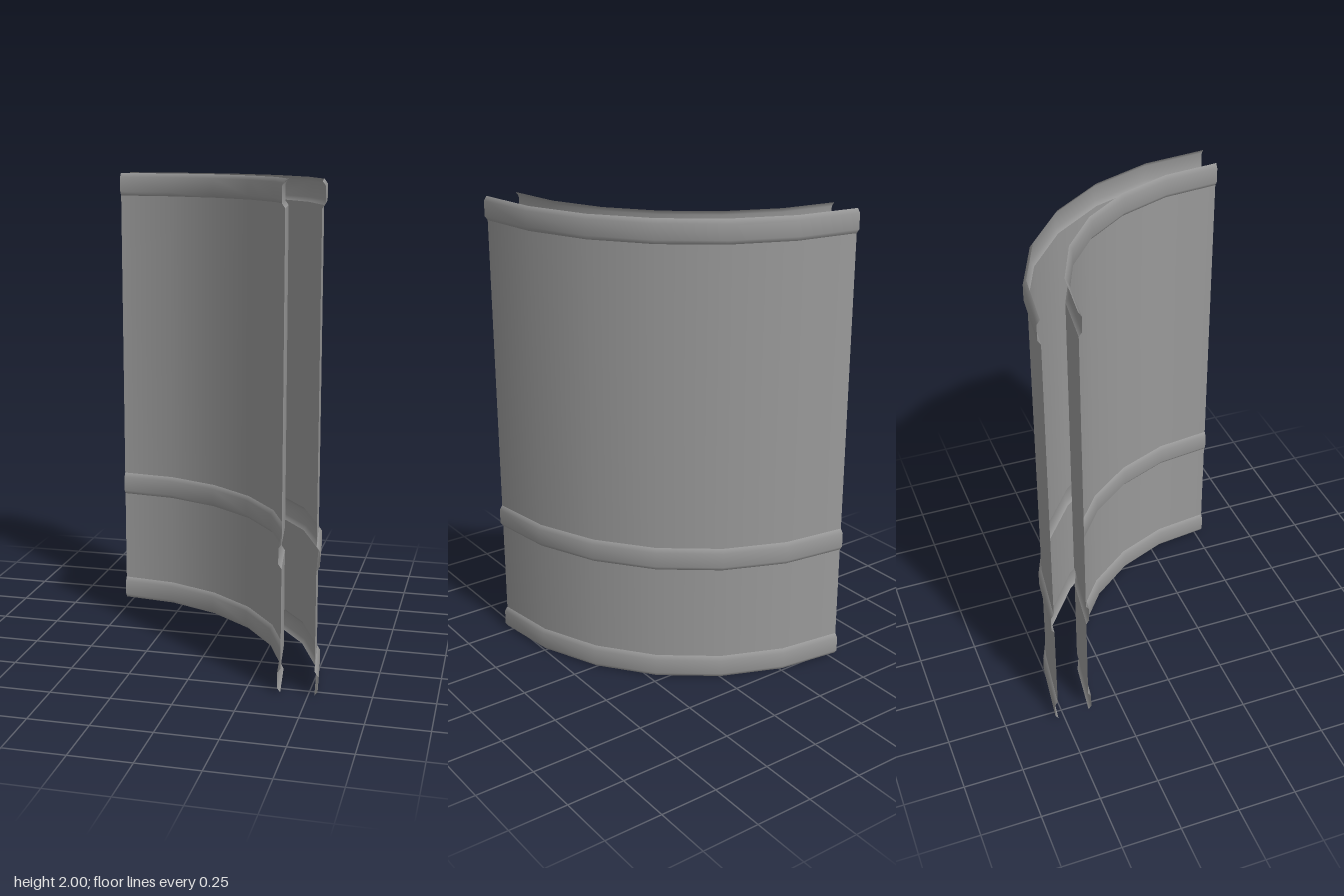
import * as THREE from 'three';

const CENTRE = 0.538;          // the arc is centred on (-CENTRE, +CENTRE)
const BULGE = 0.013;           // how far the bands stand out from the wall
const BAND_HEIGHT = 0.1;
const BANDS = [['bottomBand', 0], ['middleBand', 0.513], ['topBand', 1.9]];

// softly chamfered band section: [share of bulge, height above the band's foot]
const BAND_SECTION = [[0, 0], [1, 0.018], [1, 0.082], [0, BAND_HEIGHT]];

const material = new THREE.MeshStandardMaterial({ color: 0x999999, side: THREE.DoubleSide });

// quarter-turn sheet in six steps from a list of [radius, height]
function arcSheet(name, section, inward) {
  const points = section.map(([r, y]) => new THREE.Vector2(r, y));
  if (inward) points.reverse();
  const mesh = new THREE.Mesh(new THREE.LatheGeometry(points, 6, Math.PI / 2, Math.PI / 2), material);
  mesh.name = name;
  return mesh;
}

// one curved skin: plain wall panels with moulded bands between them
function curvedSkin(name, radius, inward) {
  const skin = new THREE.Group();
  skin.name = name;
  const direction = inward ? -1 : 1;
  BANDS.forEach(([bandName, y], i) => {
    const section = BAND_SECTION.map(([out, h]) => [radius + direction * BULGE * out, y + h]);
    skin.add(arcSheet(bandName, section, inward));
    if (i < BANDS.length - 1) {
      const panel = [[radius, y + BAND_HEIGHT], [radius, BANDS[i + 1][1]]];
      skin.add(arcSheet(i === 0 ? 'lowerPanel' : 'upperPanel', panel, inward));
    }
  });
  return skin;
}

export function createModel() {
  const model = new THREE.Group();
  model.name = 'curvedWall';
  model.add(curvedSkin('outerSkin', 1.063, false), curvedSkin('innerSkin', 0.926, true));
  model.children.forEach((skin) => skin.position.set(-CENTRE, 0, CENTRE));
  return model;
}
